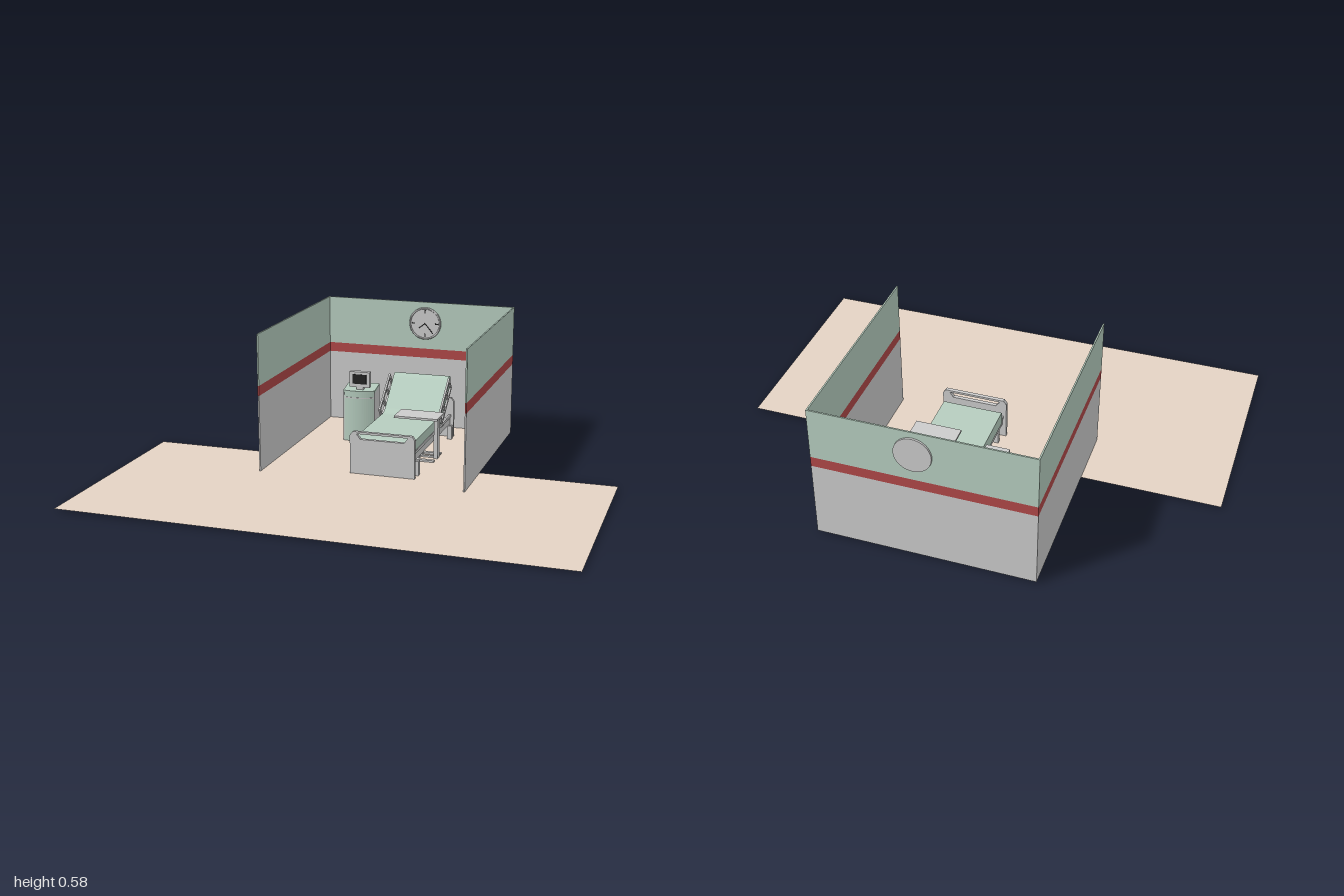
import * as THREE from 'three';

const mat = (color, side = THREE.FrontSide) => new THREE.MeshStandardMaterial({ color, side });

export function createModel() {
  const root = new THREE.Group();
  const grey = mat(0xcccccc), green = mat(0xb6cdbf), red = mat(0xb04848), black = mat(0x222222);

  const add = (parent, name, geo, m, x = 0, y = 0, z = 0) => {
    const mesh = new THREE.Mesh(geo, m);
    mesh.name = name;
    mesh.position.set(x, y, z);
    parent.add(mesh);
    return mesh;
  };
  // box given by its min and max corners
  const box = (parent, name, m, x0, x1, y0, y1, z0, z1) =>
    add(parent, name, new THREE.BoxGeometry(x1 - x0, y1 - y0, z1 - z0), m, (x0 + x1) / 2, (y0 + y1) / 2, (z0 + z1) / 2);
  const group = (name) => {
    const g = new THREE.Group();
    g.name = name;
    root.add(g);
    return g;
  };
  const polygon = (pts) => new THREE.Shape(pts.map(([x, y]) => new THREE.Vector2(x, y)));
  const extrude = (shape, depth, curveSegments = 16) =>
    new THREE.ExtrudeGeometry(shape, { depth, bevelEnabled: false, curveSegments });

  // T-shaped floor sheet
  const floorShape = polygon([[-1, -0.77], [1, -0.77], [1, 0.15], [0.435, 0.15], [0.435, 0.765],
    [-0.435, 0.765], [-0.435, 0.15], [-1, 0.15]]);
  const floor = add(root, 'floor', new THREE.ShapeGeometry(floorShape), mat(0xe4d3c4, THREE.DoubleSide), 0, 0.008, 0);
  floor.rotation.x = -Math.PI / 2;

  // three walls, each in three colour bands
  const walls = group('walls');
  const bands = [['lowerWall', grey, 0.008, 0.328], ['wallStripe', red, 0.328, 0.37], ['upperWall', green, 0.37, 0.585]];
  for (const [name, m, y0, y1] of bands) {
    box(walls, name + 'Back', m, -0.435, 0.435, y0, y1, -0.766, -0.76);
    box(walls, name + 'Right', m, -0.435, -0.429, y0, y1, -0.76, 0.105);
    box(walls, name + 'Left', m, 0.429, 0.435, y0, y1, -0.76, 0.105);
  }

  // wall clock, set through the back wall
  const clock = group('clock');
  clock.position.set(0.03, 0.488, -0.763);
  add(clock, 'clockBody', new THREE.CylinderGeometry(0.073, 0.073, 0.022, 40), grey).rotation.x = Math.PI / 2;
  add(clock, 'clockRim', new THREE.TorusGeometry(0.07, 0.004, 8, 40), grey, 0, 0, 0.011);
  const mark = (name, angle, r0, r1, w) => {
    const r = (r0 + r1) / 2;
    const m = add(clock, name, new THREE.BoxGeometry(w, r1 - r0, 0.002), black, Math.sin(angle) * r, Math.cos(angle) * r, 0.012);
    m.rotation.z = -angle;
  };
  for (let i = 0; i < 4; i++) mark('clockTick', i * Math.PI / 2, 0.047, 0.062, 0.005);
  mark('hourHand', 4.05, 0, 0.036, 0.005);
  mark('minuteHand', 2.45, 0, 0.058, 0.004);

  // bed: end boards with a grip slot
  const bed = group('bed');
  const board = polygon([[-0.07, 0.01], [0.205, 0.01], [0.205, 0.172], [0.193, 0.188], [-0.058, 0.188], [-0.07, 0.172]]);
  board.holes.push(polygon([[-0.025, 0.157], [-0.042, 0.179], [0.176, 0.179], [0.16, 0.157]]));
  for (const [name, z] of [['headBoard', -0.628], ['footBoard', 0.004]]) {
    add(bed, name, extrude(board, 0.016), grey, 0, 0, z);
  }
  // frame, side bars and legs
  box(bed, 'bedFrame', grey, -0.055, 0.19, 0.07, 0.095, -0.612, 0.004);
  for (const x of [-0.058, 0.183]) {
    box(bed, 'sideBar', grey, x, x + 0.01, 0.1, 0.112, -0.612, 0.004);
    for (const z of [-0.58, -0.04]) box(bed, 'bedLeg', grey, x + 0.005, x + 0.025, 0.009, 0.07, z - 0.01, z + 0.01);
  }
  // mattress with raised back, swept across the width
  const profile = new THREE.Shape();
  profile.moveTo(0.02, 0.095);
  profile.lineTo(0.02, 0.14);
  profile.quadraticCurveTo(0.02, 0.152, 0.035, 0.152);
  profile.lineTo(0.39, 0.152);
  profile.quadraticCurveTo(0.42, 0.152, 0.44, 0.172);
  profile.lineTo(0.555, 0.28);
  profile.quadraticCurveTo(0.57, 0.294, 0.585, 0.294);
  profile.quadraticCurveTo(0.61, 0.294, 0.605, 0.265);
  profile.lineTo(0.46, 0.11);
  profile.lineTo(0.45, 0.095);
  const mattress = add(bed, 'mattress', extrude(profile, 0.25, 8), green, -0.06, 0, 0);
  mattress.rotation.y = Math.PI / 2;
  mattress.scale.z = 1;
  // sloped ladder rails beside the raised back
  for (const x of [-0.069, 0.201]) {
    const rail = new THREE.Group();
    rail.name = 'sideRail';
    rail.position.set(x, 0.21, -0.475);
    rail.rotation.x = Math.atan2(0.12, 0.15);
    for (const y of [-0.028, 0.028]) box(rail, 'railBar', grey, -0.004, 0.004, y - 0.006, y + 0.006, -0.1, 0.1);
    for (let i = 0; i < 4; i++) {
      const z = -0.094 + i * 0.0627;
      box(rail, 'railRung', grey, -0.004, 0.004, -0.028, 0.028, z - 0.006, z + 0.006);
    }
    bed.add(rail);
  }

  // overbed table on an H-shaped base
  const table = group('overbedTable');
  box(table, 'tableTop', grey, 0.04, 0.23, 0.185, 0.194, -0.35, -0.235);
  box(table, 'tableColumn', grey, 0.205, 0.222, 0.009, 0.185, -0.31, -0.275);
  box(table, 'baseArm', grey, 0.13, 0.215, 0.009, 0.016, -0.3, -0.285);
  box(table, 'baseStem', grey, 0.127, 0.147, 0, 0.016, -0.335, -0.24);
  for (const z of [-0.35, -0.24]) box(table, 'baseRunner', grey, 0.05, 0.22, 0, 0.016, z, z + 0.018);

  // bow-fronted bedside cabinet, turned slightly
  const cabinet = group('cabinet');
  cabinet.position.set(-0.187, 0, -0.49);
  cabinet.rotation.y = 0.147;
  const plan = (w, back, front, bulge) => {
    const s = new THREE.Shape();
    s.moveTo(-w, back);
    s.lineTo(-w, -front);
    s.quadraticCurveTo(0, -front - bulge, w, -front);
    s.lineTo(w, back);
    return s;
  };
  const slab = (name, shape, y0, y1, m) => {
    add(cabinet, name, extrude(shape, y1 - y0), m, 0, y0, 0).rotation.x = -Math.PI / 2;
  };
  slab('cabinetBody', plan(0.066, 0.07, 0.064, 0.03), 0.01, 0.23, green);
  slab('cabinetTop', plan(0.07, 0.073, 0.067, 0.032), 0.23, 0.24, green);
  slab('drawerLip', plan(0.068, 0.07, 0.065, 0.031), 0.205, 0.21, grey);
  for (const x of [-0.07, 0.066]) box(cabinet, 'cabinetSide', grey, x, x + 0.004, 0.01, 0.23, -0.072, 0.066);

  // small monitor on the cabinet
  const monitor = group('monitor');
  box(monitor, 'monitorCase', grey, -0.225, -0.133, 0.251, 0.32, -0.462, -0.436);
  box(monitor, 'monitorScreen', black, -0.211, -0.147, 0.266, 0.309, -0.437, -0.434);
  box(monitor, 'monitorStand', grey, -0.195, -0.163, 0.24, 0.252, -0.46, -0.44);

  return root;
}
